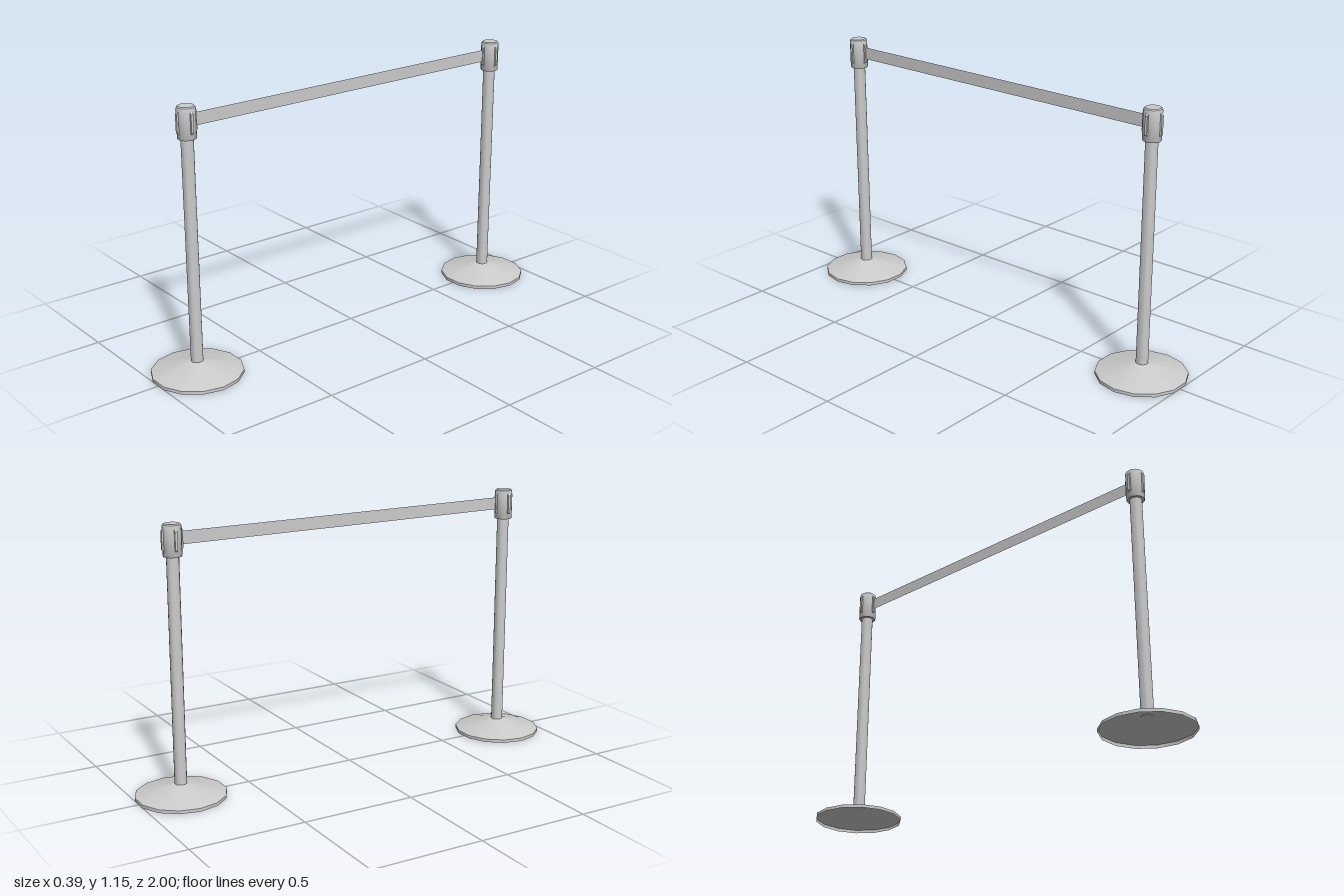
import * as THREE from 'three';
import { toCreasedNormals } from 'three/addons/utils/BufferGeometryUtils.js';

const material = new THREE.MeshStandardMaterial({ color: 0xcccccc });
const thin = new THREE.MeshStandardMaterial({ color: 0xcccccc, side: THREE.DoubleSide });

const POST_Z = 0.812;

function named(name, geometry, mat = material) {
  const mesh = new THREE.Mesh(geometry, mat);
  mesh.name = name;
  return mesh;
}

// Turned part from [radius, height] pairs, listed bottom to top
function turned(name, profile, sides, mat) {
  const points = profile.map(([r, y]) => new THREE.Vector2(r, y));
  const geometry = new THREE.LatheGeometry(points, sides);
  geometry.rotateY(Math.PI / 2);
  return named(name, toCreasedNormals(geometry, 0.6), mat);
}

// Thin fin with sloped ends, standing out from the head along +x
function finGeometry() {
  const shape = new THREE.Shape([
    new THREE.Vector2(0.03, 1.04),
    new THREE.Vector2(0.0385, 1.04),
    new THREE.Vector2(0.0455, 1.047),
    new THREE.Vector2(0.0455, 1.123),
    new THREE.Vector2(0.0385, 1.133),
    new THREE.Vector2(0.03, 1.133),
  ]);
  const geometry = new THREE.ExtrudeGeometry(shape, { depth: 0.011, bevelEnabled: false });
  return geometry.translate(0, 0, -0.0055);
}

function createPost() {
  const post = new THREE.Group();
  post.name = 'post';

  // Hollow conical foot with a short upright rim
  post.add(turned('base', [[0.193, 0], [0.193, 0.014], [0.026, 0.058]], 14, thin));

  // Upright tube, closed at its foot
  post.add(turned('pole', [[0, 0.056], [0.026, 0.056], [0.026, 1.03]], 16));

  // Belt housing with a softened top edge
  post.add(turned('head', [
    [0, 1.017], [0.037, 1.017], [0.039, 1.02], [0.039, 1.138],
    [0.037, 1.146], [0.032, 1.15], [0, 1.15],
  ], 16));

  // Four belt clips around the head
  const fin = finGeometry();
  for (let i = 0; i < 4; i++) {
    const clip = named('beltClip', fin);
    clip.rotation.y = (i * Math.PI) / 2;
    post.add(clip);
  }
  return post;
}

export function createModel() {
  const model = new THREE.Group();
  model.name = 'queueBarrier';

  // A post at each end
  for (const side of [1, -1]) {
    const post = createPost();
    post.position.z = side * POST_Z;
    model.add(post);
  }

  // Flat belt stretched between the heads
  const belt = named('belt', new THREE.PlaneGeometry(2 * (POST_Z - 0.035), 0.054), thin);
  belt.rotation.y = Math.PI / 2;
  belt.position.y = 1.088;
  model.add(belt);

  return model;
}
